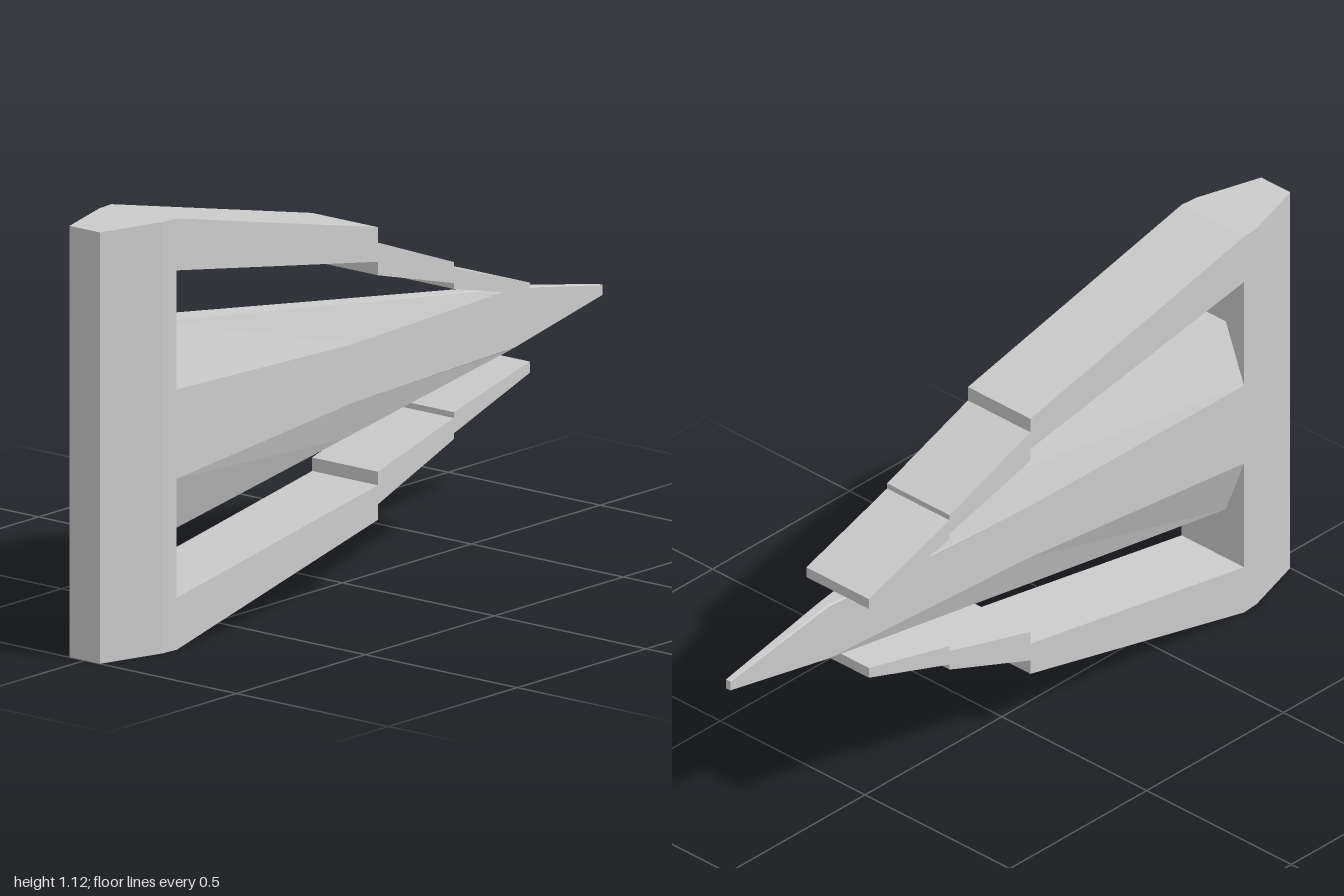
import * as THREE from 'three';

const MID = 0.56; // height of the horizontal mirror plane
const HALF = 0.108; // half thickness of the frame

const material = new THREE.MeshStandardMaterial({ color: 0xcccccc, flatShading: true });

function addMesh(group, name, geometry) {
  const mesh = new THREE.Mesh(geometry, material);
  mesh.name = name;
  group.add(mesh);
  return mesh;
}

function extrude(points, depth) {
  const shape = new THREE.Shape(points.map(([x, y]) => new THREE.Vector2(x, y)));
  return new THREE.ExtrudeGeometry(shape, { depth, bevelEnabled: false });
}

// Lofts octagonal sections along x: [x, side half width, side half height, ridge half width, ridge half height]
function loft(sections) {
  const rings = sections.map(([x, b, s, t, h]) =>
    [[-b, s], [-t, h], [t, h], [b, s], [b, -s], [t, -h], [-t, -h], [-b, -s]]
      .map(([z, y]) => [x, MID + y, z]));
  const positions = [];
  const tri = (...corners) => corners.forEach((p) => positions.push(...p));
  for (let k = 0; k < rings.length - 1; k++) {
    for (let i = 0; i < 8; i++) {
      const j = (i + 1) % 8;
      const a = rings[k][i], b = rings[k + 1][i], c = rings[k + 1][j], d = rings[k][j];
      tri(a, d, c);
      tri(a, c, b);
    }
  }
  const first = rings[0], last = rings[rings.length - 1];
  for (let i = 1; i < 7; i++) {
    tri(last[0], last[i], last[i + 1]);
    tri(first[0], first[i + 1], first[i]);
  }
  const geometry = new THREE.BufferGeometry();
  geometry.setAttribute('position', new THREE.Float32BufferAttribute(positions, 3));
  geometry.computeVertexNormals();
  return geometry;
}

export function createModel() {
  const model = new THREE.Group();
  model.name = 'spearhead';

  // Upright base block with a tapered rear edge
  const base = extrude([
    [-1, -0.05], [-0.82, -0.104], [-0.77, -HALF],
    [-0.77, HALF], [-0.82, 0.104], [-1, 0.05],
  ], 1.12);
  base.rotateX(-Math.PI / 2);
  addMesh(model, 'baseBlock', base);

  // Three stepped segments per arm, mirrored top to bottom
  const segments = [
    [[-0.77, 1.12], [0.01, 0.94], [0.01, 0.85], [-0.77, 0.985]],
    [[0.01, 0.9], [0.305, 0.79], [0.305, 0.735], [0.01, 0.815]],
    [[0.305, 0.775], [0.6, 0.677], [0.6, 0.648], [0.305, 0.72]],
  ];
  for (const upper of [true, false]) {
    const arm = new THREE.Group();
    arm.name = upper ? 'upperArm' : 'lowerArm';
    segments.forEach((points, i) => {
      const outline = points.map(([x, y]) => [x, upper ? y : 2 * MID - y]);
      const geometry = extrude(outline, 2 * HALF);
      geometry.translate(0, 0, -HALF);
      addMesh(arm, `armSegment${i + 1}`, geometry);
    });
    model.add(arm);
  }

  // Central spike narrowing to a thin blunt tip
  addMesh(model, 'spike', loft([
    [-0.77, HALF, 0.116, 0.045, 0.28],
    [-0.03, 0.06, 0.076, 0.03, 0.175],
    [0.65, 0.016, 0.077, 0.012, 0.08],
    [1, 0.008, 0.0125, 0.007, 0.0135],
  ]));

  return model;
}
